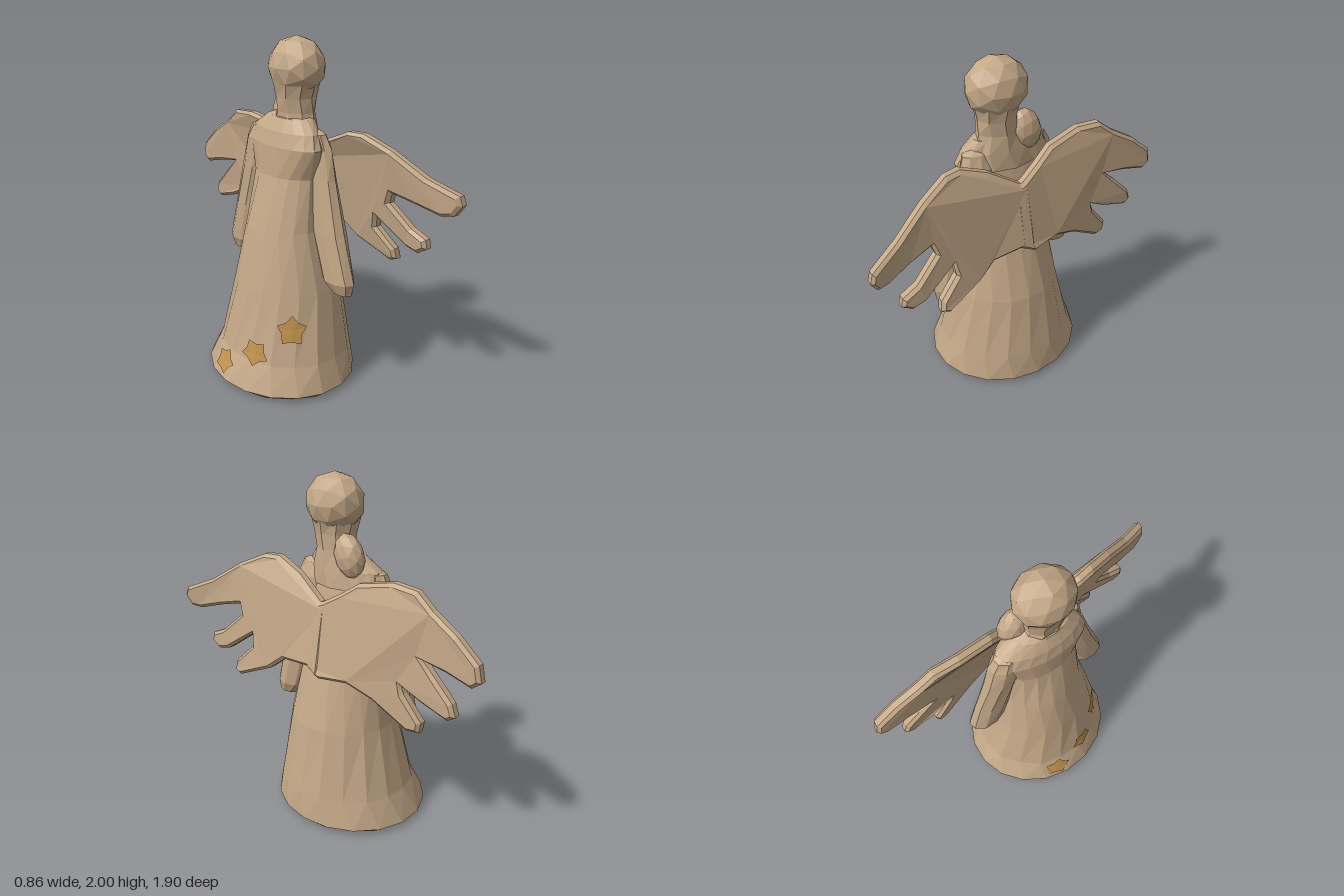
import * as THREE from 'three';

const clay = new THREE.MeshStandardMaterial({ color: 0xc4a888 });
clay.name = 'clay';
const ochre = new THREE.MeshStandardMaterial({ color: 0xc1934f });
ochre.name = 'ochre';

// Hand-modelled unevenness, the same for every run
const wobble = (i, j, amount) => 1 + amount * Math.sin(i * 12.99 + j * 78.23 + i * j * 3.7);

function addMesh(parent, name, geometry, material = clay) {
  const flat = geometry.index ? geometry.toNonIndexed() : geometry;
  flat.computeVertexNormals();
  const mesh = new THREE.Mesh(flat, material);
  mesh.name = name;
  parent.add(mesh);
  return mesh;
}

// Faceted lump of clay
function addLump(parent, name, [x, y, z], [sx, sy, sz], tilt = 0) {
  const mesh = addMesh(parent, name, new THREE.IcosahedronGeometry(1, 1));
  mesh.position.set(x, y, z);
  mesh.scale.set(sx, sy, sz);
  mesh.rotation.x = tilt;
}

// Faceted loft through elliptical rings [y, xMin, xMax, zMin, zMax]
function loft(rings, sides, rough = 0.03) {
  const pos = [], index = [];
  rings.forEach(([y, x0, x1, z0, z1], i) => {
    for (let j = 0; j < sides; j++) {
      const a = (j / sides) * Math.PI * 2 + (i % 2) * 0.08;
      const k = wobble(i, j, rough);
      pos.push((x0 + x1) / 2 + ((x1 - x0) / 2) * k * Math.cos(a), y,
        (z0 + z1) / 2 + ((z1 - z0) / 2) * k * Math.sin(a));
      if (i === 0) continue;
      const n = (j + 1) % sides, lo = (i - 1) * sides, hi = i * sides;
      index.push(lo + j, hi + j, lo + n, lo + n, hi + j, hi + n);
    }
  });
  const g = new THREE.BufferGeometry();
  g.setAttribute('position', new THREE.Float32BufferAttribute(pos, 3));
  g.setIndex(index);
  return g;
}

// Outer surface of the robe, bottom to shoulders
const robe = [
  [0.035, -0.43, 0.415, -0.475, 0.46],
  [0.2, -0.365, 0.395, -0.41, 0.42],
  [0.6, -0.28, 0.33, -0.305, 0.34],
  [0.95, -0.205, 0.24, -0.24, 0.265],
  [1.25, -0.125, 0.165, -0.215, 0.24],
  [1.42, -0.115, 0.13, -0.27, 0.295],
  [1.5, -0.095, 0.12, -0.23, 0.26],
  [1.57, -0.06, 0.12, -0.13, 0.2],
  [1.62, 0.04, 0.04, 0.04, 0.04],
];
// Hollow underside and rim
const hollow = [
  [1.2, 0.01, 0.01, 0.01, 0.01],
  [1.15, -0.09, 0.1, -0.12, 0.14],
  [0.6, -0.22, 0.25, -0.24, 0.26],
  [0.2, -0.31, 0.32, -0.34, 0.34],
  [0.03, -0.34, 0.33, -0.37, 0.37],
  [0.005, -0.4, 0.385, -0.44, 0.43],
];

// Star following the curve of the robe
function starGeometry(angle, height, radius, turn) {
  const onRobe = (a, y) => {
    const i = Math.max(1, robe.findIndex((r) => r[0] > y));
    const t = (y - robe[i - 1][0]) / (robe[i][0] - robe[i - 1][0]);
    const [x0, x1, z0, z1] = [1, 2, 3, 4].map((k) => THREE.MathUtils.lerp(robe[i - 1][k], robe[i][k], t));
    return [(x0 + x1) / 2 + ((x1 - x0) / 2 + 0.008) * Math.cos(a), y,
      (z0 + z1) / 2 + ((z1 - z0) / 2 + 0.008) * Math.sin(a)];
  };
  const pos = [...onRobe(angle, height)], index = [];
  for (let k = 0; k < 10; k++) {
    const t = (k * Math.PI) / 5 + turn, r = k % 2 ? radius * 0.68 : radius;
    pos.push(...onRobe(angle - (r * Math.cos(t)) / 0.36, height + r * Math.sin(t)));
    index.push(0, 1 + k, 1 + ((k + 1) % 10));
  }
  const g = new THREE.BufferGeometry();
  g.setAttribute('position', new THREE.Float32BufferAttribute(pos, 3));
  g.setIndex(index);
  return g;
}

// Wing outlines as [z, y], from the top of the seam around the feathers; they overlap at the middle
const wingA = [[-0.03, 1.31], [0.03, 1.34], [0.2, 1.45], [0.36, 1.52], [0.45, 1.52], [0.6, 1.45], [0.78, 1.33],
  [0.94, 1.26], [0.955, 1.21], [0.92, 1.15], [0.86, 1.14], [0.72, 1.18], [0.59, 1.21], [0.57, 1.15],
  [0.7, 1.03], [0.79, 0.99], [0.8, 0.94], [0.74, 0.9], [0.66, 0.92], [0.48, 1.05], [0.47, 0.98],
  [0.58, 0.87], [0.59, 0.81], [0.54, 0.79], [0.33, 0.88], [0.23, 0.96], [0.05, 0.97], [-0.03, 0.92]];
const wingB = [[0.06, 1.32], [0.0, 1.34], [-0.1, 1.4], [-0.2, 1.47], [-0.4, 1.51], [-0.55, 1.5], [-0.65, 1.42],
  [-0.8, 1.33], [-0.93, 1.22], [-0.95, 1.13], [-0.9, 1.09], [-0.75, 1.13], [-0.6, 1.16], [-0.7, 1.07],
  [-0.8, 0.97], [-0.825, 0.9], [-0.78, 0.87], [-0.62, 0.92], [-0.5, 0.99], [-0.52, 0.94], [-0.63, 0.8],
  [-0.62, 0.74], [-0.55, 0.74], [-0.35, 0.87], [-0.2, 0.93], [-0.03, 0.92], [0.06, 0.97]];

// Along z: x of the wing's top edge, and how far it leans out per unit of drop
const sweep = [[-1, 0.095, 0], [-0.6, 0.085, 0.05], [-0.4, 0.085, 0.13], [-0.2, 0.11, 0.19], [0, 0.14, 0.22],
  [0.3, 0.14, 0.23], [0.55, 0.2, 0.19], [0.8, 0.3, 0.04], [1, 0.4, 0]];
function wingX(z, y) {
  const i = Math.max(1, sweep.findIndex((s) => s[0] >= z));
  const [a, b] = [sweep[i - 1], sweep[i]];
  const t = (z - a[0]) / (b[0] - a[0]);
  return THREE.MathUtils.lerp(a[1], b[1], t) + THREE.MathUtils.lerp(a[2], b[2], t) * (1.5 - y);
}

function wingGeometry(outline) {
  const shape = new THREE.Shape(outline.map(([z, y]) => new THREE.Vector2(-z, y)));
  const g = new THREE.ExtrudeGeometry(shape, {
    depth: 0.035, bevelEnabled: true, bevelSegments: 1, bevelThickness: 0.018, bevelSize: 0.018, bevelOffset: -0.018,
  });
  const p = g.attributes.position;
  for (let i = 0; i < p.count; i++) {
    const z = -p.getX(i), y = p.getY(i), t = p.getZ(i);
    p.setXYZ(i, wingX(z, y) + t, y, z);
  }
  return g;
}

export function createModel() {
  const group = new THREE.Group();
  group.name = 'angelFigurine';

  addMesh(group, 'robe', loft([...hollow, ...robe], 18, 0.012));

  // Long hanging sleeves
  addMesh(group, 'frontSleeve', loft([
    [0.64, 0.08, 0.08, 0.42, 0.42], [0.62, 0.035, 0.125, 0.36, 0.49], [0.69, 0.0, 0.15, 0.29, 0.505],
    [0.95, 0.0, 0.15, 0.2, 0.43], [1.25, 0.01, 0.14, 0.12, 0.345], [1.42, 0.02, 0.13, 0.08, 0.31],
    [1.5, 0.01, 0.1, 0.1, 0.28], [1.54, 0.05, 0.05, 0.18, 0.18],
  ], 9));
  addMesh(group, 'backSleeve', loft([
    [0.69, -0.01, -0.01, -0.38, -0.38], [0.67, -0.05, 0.03, -0.45, -0.32], [0.74, -0.08, 0.055, -0.475, -0.25],
    [0.98, -0.08, 0.06, -0.41, -0.18], [1.25, -0.08, 0.07, -0.33, -0.12], [1.42, -0.08, 0.07, -0.29, -0.06],
    [1.49, -0.06, 0.06, -0.25, -0.08], [1.53, 0, 0, -0.16, -0.16],
  ], 9));

  // Neck wrapped in hair, falling over the shoulders
  addMesh(group, 'hair', loft([
    [1.4, -0.07, 0.16, -0.18, 0.2], [1.5, -0.06, 0.15, -0.12, 0.2], [1.6, -0.055, 0.14, -0.06, 0.18],
    [1.68, -0.065, 0.14, -0.06, 0.185], [1.76, -0.085, 0.155, -0.075, 0.205], [1.82, -0.095, 0.165, -0.09, 0.215],
    [1.86, 0.04, 0.04, 0.06, 0.06],
  ], 9, 0.04));
  addLump(group, 'ponytail', [0.09, 1.58, -0.08], [0.07, 0.125, 0.09], 0.35);
  addLump(group, 'head', [0.04, 1.84, 0.065], [0.148, 0.162, 0.172]);

  addMesh(group, 'frontWing', wingGeometry(wingA));
  addMesh(group, 'backWing', wingGeometry(wingB));

  // Painted stars
  [[2.22, 0.415, 0.09, 0.3], [2.78, 0.26, 0.08, 0.9], [3.3, 0.13, 0.075, 0.1]].forEach(([a, y, r, turn], i) =>
    addMesh(group, `star${i + 1}`, starGeometry(a, y, r, turn), ochre));

  return group;
}
